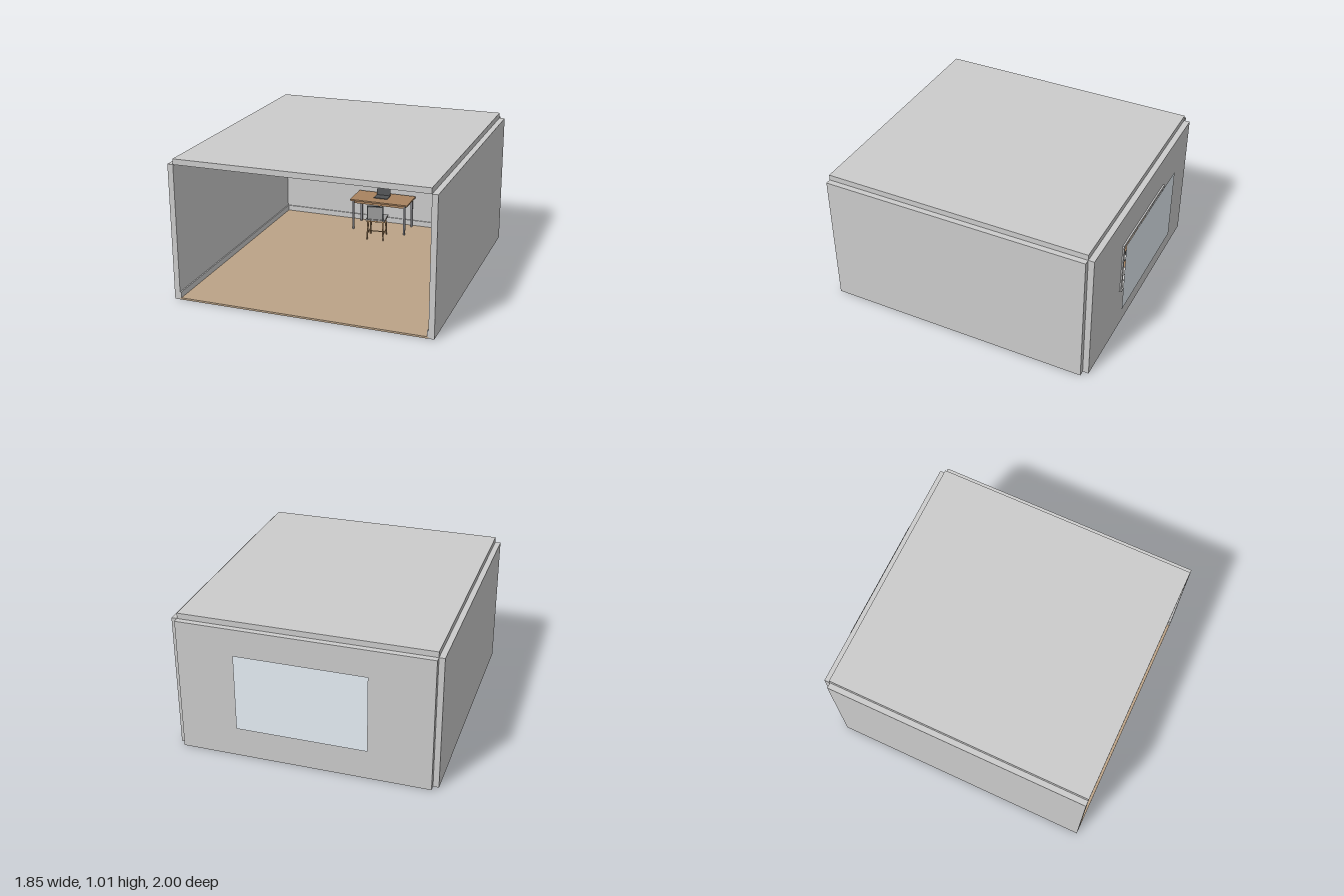
import * as THREE from 'three';

const mat = (color, extra = {}) => new THREE.MeshStandardMaterial({ color, ...extra });
const grey = mat(0xcccccc);
const floorWood = mat(0xbba387);
const deskWood = mat(0xa8835f);
const chairWood = mat(0xb08a60);
const metal = mat(0x85858a);
const dark = mat(0x505254);
const cushion = mat(0x9c9c9c);
const sky = mat(0xe6eef5, { side: THREE.DoubleSide });

function add(parent, name, geometry, material) {
  const mesh = new THREE.Mesh(geometry, material);
  mesh.name = name;
  parent.add(mesh);
  return mesh;
}

// Box given by its extents on each axis
function box(parent, name, [x0, x1], [y0, y1], [z0, z1], material = grey) {
  const mesh = add(parent, name, new THREE.BoxGeometry(x1 - x0, y1 - y0, z1 - z0), material);
  mesh.position.set((x0 + x1) / 2, (y0 + y1) / 2, (z0 + z1) / 2);
  return mesh;
}

// Round bar between two points
function bar(parent, name, a, b, r0, r1, material) {
  const p = new THREE.Vector3(...a), q = new THREE.Vector3(...b);
  const mesh = add(parent, name, new THREE.CylinderGeometry(r1, r0, p.distanceTo(q), 12), material);
  mesh.position.copy(p).lerp(q, 0.5);
  mesh.quaternion.setFromUnitVectors(new THREE.Vector3(0, 1, 0), q.sub(p).normalize());
  return mesh;
}

function group(parent, name) {
  const g = new THREE.Group();
  g.name = name;
  parent.add(g);
  return g;
}

const BACK = -0.905, OUT = -0.947;

function buildShell(room) {
  box(room, 'floor', [-0.885, 0.885], [0, 0.013], [BACK, 1], floorWood);
  box(room, 'ceiling', [-0.885, 0.885], [0.972, 1.012], [BACK, 1]);
  for (const [side, s] of [['left', 1], ['right', -1]]) {
    const span = (a, b) => [Math.min(a * s, b * s), Math.max(a * s, b * s)];
    box(room, side + 'Wall', span(0.885, 0.925), [0, 0.972], [BACK, 1]);
    box(room, side + 'Skirting', span(0.876, 0.885), [0.013, 0.055], [BACK, 1]);
  }
  box(room, 'backSkirting', [-0.876, 0.876], [0.013, 0.055], [BACK, BACK + 0.009]);

  // Back wall with the window opening
  const rect = (path, x, y0, y1) => path.moveTo(-x, y0).lineTo(x, y0).lineTo(x, y1).lineTo(-x, y1).closePath();
  const wall = rect(new THREE.Shape(), 0.885, 0, 0.972);
  wall.holes.push(rect(new THREE.Path(), 0.36, 0.345, 0.712));
  const geo = new THREE.ExtrudeGeometry(wall, { depth: BACK - OUT, bevelEnabled: false });
  geo.translate(0, 0, OUT);
  add(room, 'backWall', geo, grey);
}

function buildWindow(room) {
  const win = group(room, 'window');
  // Casing on the inner and outer wall faces
  for (const [z, d] of [[BACK, 1], [OUT, -1]]) {
    const depth = (t) => (d > 0 ? [z, z + t] : [z - t, z]);
    box(win, 'leftCasing', [0.357, 0.38], [0.345, 0.715], depth(0.009));
    box(win, 'rightCasing', [-0.38, -0.357], [0.345, 0.715], depth(0.009));
    box(win, 'headCasing', [-0.385, 0.385], [0.713, 0.733], depth(0.011));
    box(win, 'sill', [-0.388, 0.388], [0.335, 0.346], depth(0.017));
  }
  // Sash frame and glazing bars
  const z = [-0.935, -0.917];
  box(win, 'sashLeft', [0.353, 0.36], [0.345, 0.712], z);
  box(win, 'sashRight', [-0.36, -0.353], [0.345, 0.712], z);
  box(win, 'sashTop', [-0.36, 0.36], [0.705, 0.712], z);
  box(win, 'sashBottom', [-0.36, 0.36], [0.345, 0.352], z);
  box(win, 'uprightBar', [-0.008, 0.008], [0.345, 0.712], z);
  box(win, 'crossBar', [-0.36, 0.36], [0.523, 0.534], z);

  const view = add(room, 'skyPanel', new THREE.PlaneGeometry(0.92, 0.56), sky);
  view.position.set(0, 0.53, -0.999);
}

function buildLight(room) {
  const light = group(room, 'ceilingLight');
  light.position.set(0, 0, 0.05);
  const base = add(light, 'lightBase', new THREE.CylinderGeometry(0.058, 0.058, 0.014, 32), grey);
  base.position.y = 0.965;
  const profile = [[0, 0.945], [0.03, 0.946], [0.045, 0.95], [0.052, 0.958]];
  add(light, 'lightDiffuser', new THREE.LatheGeometry(profile.map((p) => new THREE.Vector2(...p)), 32), grey);
}

function buildDesk(room) {
  const desk = group(room, 'desk');
  desk.position.z = -0.765;
  box(desk, 'desktop', [-0.238, 0.238], [0.255, 0.267], [-0.12, 0.12], deskWood);
  for (const s of [1, -1]) {
    box(desk, 'apron', [-0.205, 0.205], [0.234, 0.255], [s * 0.1 - 0.005, s * 0.1 + 0.005], deskWood);
    for (const t of [1, -1])
      box(desk, 'deskLeg', [s * 0.213 - 0.007, s * 0.213 + 0.007], [0.013, 0.255], [t * 0.1 - 0.007, t * 0.1 + 0.007], metal);
    box(desk, 'sideRail', [s * 0.213 - 0.005, s * 0.213 + 0.005], [0.237, 0.255], [-0.1, 0.1], metal);
  }

  // Laptop, its screen facing the chair
  const laptop = group(desk, 'laptop');
  laptop.position.set(-0.011, 0.267, -0.01);
  box(laptop, 'keyboardBase', [-0.056, 0.056], [0, 0.005], [-0.04, 0.04], dark);
  const lid = box(laptop, 'screen', [-0.056, 0.056], [0, 0.084], [-0.046, -0.041], dark);
  lid.rotation.x = -0.2;
  lid.position.z = -0.05;
}

function buildChair(room) {
  const chair = group(room, 'chair');
  chair.position.set(0.023, 0, -0.55);
  chair.rotation.y = 0.12;
  box(chair, 'seat', [-0.074, 0.074], [0.163, 0.172], [-0.072, 0.072], chairWood);
  box(chair, 'seatCushion', [-0.076, 0.076], [0.172, 0.182], [-0.074, 0.07], cushion);
  for (const s of [1, -1]) {
    for (const t of [1, -1])
      bar(chair, 'chairLeg', [s * 0.064, 0.013, t * 0.07], [s * 0.058, 0.163, t * 0.058], 0.005, 0.008, chairWood);
    bar(chair, 'sideStretcher', [s * 0.062, 0.062, -0.066], [s * 0.062, 0.062, 0.066], 0.004, 0.004, chairWood);
    box(chair, 'backPost', [s * 0.059 - 0.005, s * 0.059 + 0.005], [0.172, 0.292], [0.06, 0.072], dark);
  }
  bar(chair, 'crossStretcher', [-0.062, 0.062, 0], [0.062, 0.062, 0], 0.004, 0.004, chairWood);
  box(chair, 'backPanel', [-0.055, 0.055], [0.186, 0.286], [0.061, 0.073], cushion);
  box(chair, 'backTopRail', [-0.064, 0.064], [0.284, 0.294], [0.06, 0.073], dark);
}

export function createModel() {
  const room = new THREE.Group();
  room.name = 'room';
  buildShell(room);
  buildWindow(room);
  buildLight(room);
  buildDesk(room);
  buildChair(room);
  return room;
}
